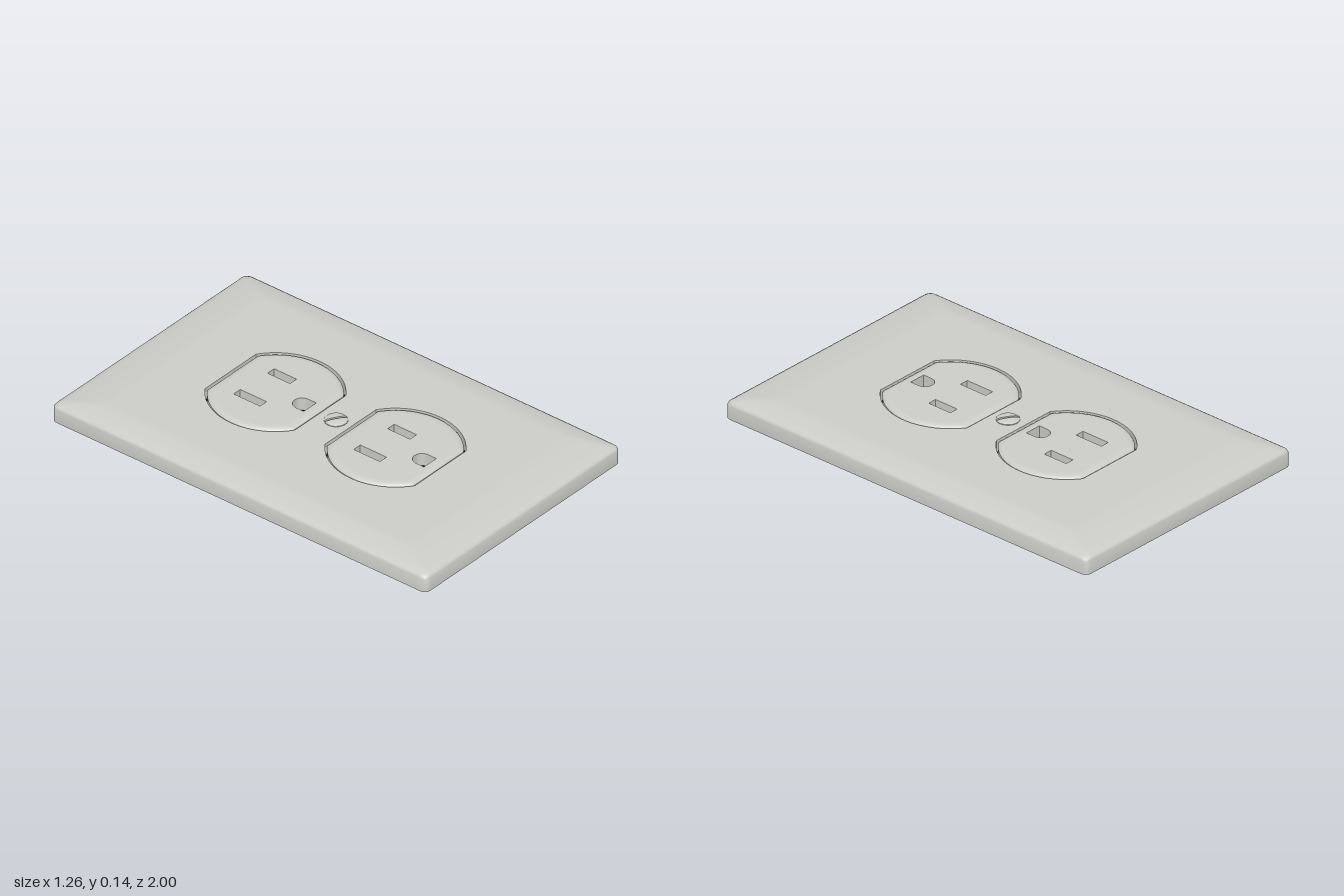
import * as THREE from 'three';
import { mergeGeometries, toCreasedNormals } from 'three/addons/utils/BufferGeometryUtils.js';

const P = (x, y) => new THREE.Vector2(x, y);

// Outlines are counter-clockwise in plan: x to the right, y towards the back (-z)
function arc(cx, cy, r, from, to, n) {
  return Array.from({ length: n + 1 }, (_, i) => {
    const a = from + (to - from) * i / n;
    return P(cx + r * Math.cos(a), cy + r * Math.sin(a));
  });
}

function roundedRect(w, l, r) {
  const corners = [[1, 1], [-1, 1], [-1, -1], [1, -1]];
  return corners.flatMap(([sx, sy], i) =>
    arc(sx * (w - r), sy * (l - r), r, i * Math.PI / 2, (i + 1) * Math.PI / 2, 6));
}

// Circle with its front and back cut straight
function outletOutline(r, h) {
  const a = Math.asin(h / r);
  return [...arc(0, 0, r, -a, a, 28), ...arc(0, 0, r, Math.PI - a, Math.PI + a, 28)];
}

function rect(cx, cy, w, l) {
  return [P(cx - w, cy - l), P(cx + w, cy - l), P(cx + w, cy + l), P(cx - w, cy + l)];
}

function halfDisc(r, gap) {
  const a = Math.asin(gap / r);
  return arc(0, 0, r, a, Math.PI - a, 20);
}

const shift = (pts, dy) => pts.map(p => P(p.x, p.y + dy));

// Skin between stacked outlines, each given as [points, height]
function loft(rings) {
  const n = rings[0][0].length, pos = [], idx = [];
  for (const [pts, y] of rings) for (const p of pts) pos.push(p.x, y, -p.y);
  for (let j = 0; j < rings.length - 1; j++) {
    for (let i = 0; i < n; i++) {
      const k = (i + 1) % n, a = j * n + i, b = j * n + k;
      idx.push(a, b, b + n, a, b + n, a + n);
    }
  }
  const g = new THREE.BufferGeometry();
  g.setAttribute('position', new THREE.Float32BufferAttribute(pos, 3));
  g.setIndex(idx);
  return toCreasedNormals(g, 0.6);
}

// Flat face with holes, looking up or down
function cap(outer, holes, y, down = false) {
  const shape = new THREE.Shape(outer);
  shape.holes = holes.map(h => new THREE.Path(h));
  const g = new THREE.ShapeGeometry(shape).rotateX(-Math.PI / 2).translate(0, y, 0);
  if (down) {
    g.index.array.reverse();
    g.computeVertexNormals();
  }
  g.deleteAttribute('uv');
  return g.toNonIndexed();
}

export function createModel() {
  const model = new THREE.Group();
  const plastic = new THREE.MeshStandardMaterial({ color: 0xccccc8 });
  plastic.name = 'pale grey plastic';
  const black = new THREE.MeshStandardMaterial({ color: 0x050505 });
  black.name = 'black';

  function add(parent, name, parts, material) {
    const mesh = new THREE.Mesh(parts.length > 1 ? mergeGeometries(parts) : parts[0], material);
    mesh.name = name;
    parent.add(mesh);
    return mesh;
  }

  const centres = [0.323, -0.317];
  const hole = outletOutline(0.29, 0.239);
  const holes = centres.map(c => shift(hole, c));

  // Hollow cover plate: inside, bottom edge, outer wall, sloped border
  const profile = [
    [0.52, 0.82, 0.105], [0.612, 0.982, 0.085], [0.612, 0.982, 0.022],
    [0.63, 1, 0.022], [0.63, 1, 0.085], [0.626, 0.996, 0.094], [0.615, 0.985, 0.101],
    [0.595, 0.965, 0.106], [0.53, 0.84, 0.123], [0.51, 0.81, 0.125], [0.49, 0.79, 0.125],
  ].map(([w, l, y]) => [roundedRect(w, l, 0.03), y]);
  add(model, 'coverPlate', [
    loft(profile),
    cap(profile.at(-1)[0], holes, 0.125),
    cap(profile[0][0], holes, 0.105, true),
  ], plastic);

  // Recesses in an outlet face: two slots and an arched ground hole
  const recesses = [
    rect(-0.104, 0.049, 0.021, 0.07),
    rect(0.102, 0.049, 0.021, 0.06),
    [P(-0.04, -0.185), P(0.04, -0.185), ...arc(0, -0.142, 0.04, 0, Math.PI, 14)],
  ];

  centres.forEach((c, i) => {
    const outlet = new THREE.Group();
    outlet.name = i ? 'frontOutlet' : 'backOutlet';
    outlet.position.z = -c;
    model.add(outlet);

    // Collar lining the plate opening
    const collar = outletOutline(0.296, 0.245);
    add(outlet, 'collar', [
      loft([[hole, 0.125], [hole, 0.05], [collar, 0.05], [collar, 0.106]]),
    ], plastic);

    // Black base closing the recesses and the gap round the face
    add(outlet, 'base', [
      loft([[hole, 0.052], [hole, 0.07]]),
      cap(hole, [], 0.07),
      cap(hole, [], 0.049, true),
    ], black);

    // Raised face with softened rim and recess walls
    const rim = [[0, 0.07], [0, 0.118], [0.005, 0.124], [0.015, 0.128], [0.028, 0.13], [0.035, 0.13]]
      .map(([d, y]) => [outletOutline(0.281 - d, 0.23 - d), y]);
    add(outlet, 'face', [
      loft(rim),
      cap(rim.at(-1)[0], recesses, 0.13),
      ...recesses.map(r => loft([[r, 0.13], [r, 0.07]])),
    ], plastic);
  });

  // Centre screw: shaft and a domed head split by a slot
  const screw = new THREE.Group();
  screw.name = 'screw';
  screw.rotation.y = -0.55;
  model.add(screw);
  const shaftProfile = [[0, 0], [0.034, 0], [0.038, 0.004], [0.038, 0.126], [0, 0.126]];
  const shaft = new THREE.LatheGeometry(shaftProfile.map(([x, y]) => P(x, y)), 32);
  add(screw, 'screwShaft', [toCreasedNormals(shaft, 0.6)], plastic);
  const head = [[0.05, 0.124], [0.05, 0.128], [0.045, 0.132], [0.035, 0.1345], [0.02, 0.136]]
    .map(([r, y]) => [halfDisc(r, 0.005), y]);
  for (const turn of [0, Math.PI]) {
    const half = add(screw, 'screwHeadHalf', [loft(head), cap(head.at(-1)[0], [], 0.136)], plastic);
    half.rotation.y = turn;
  }

  return model;
}
